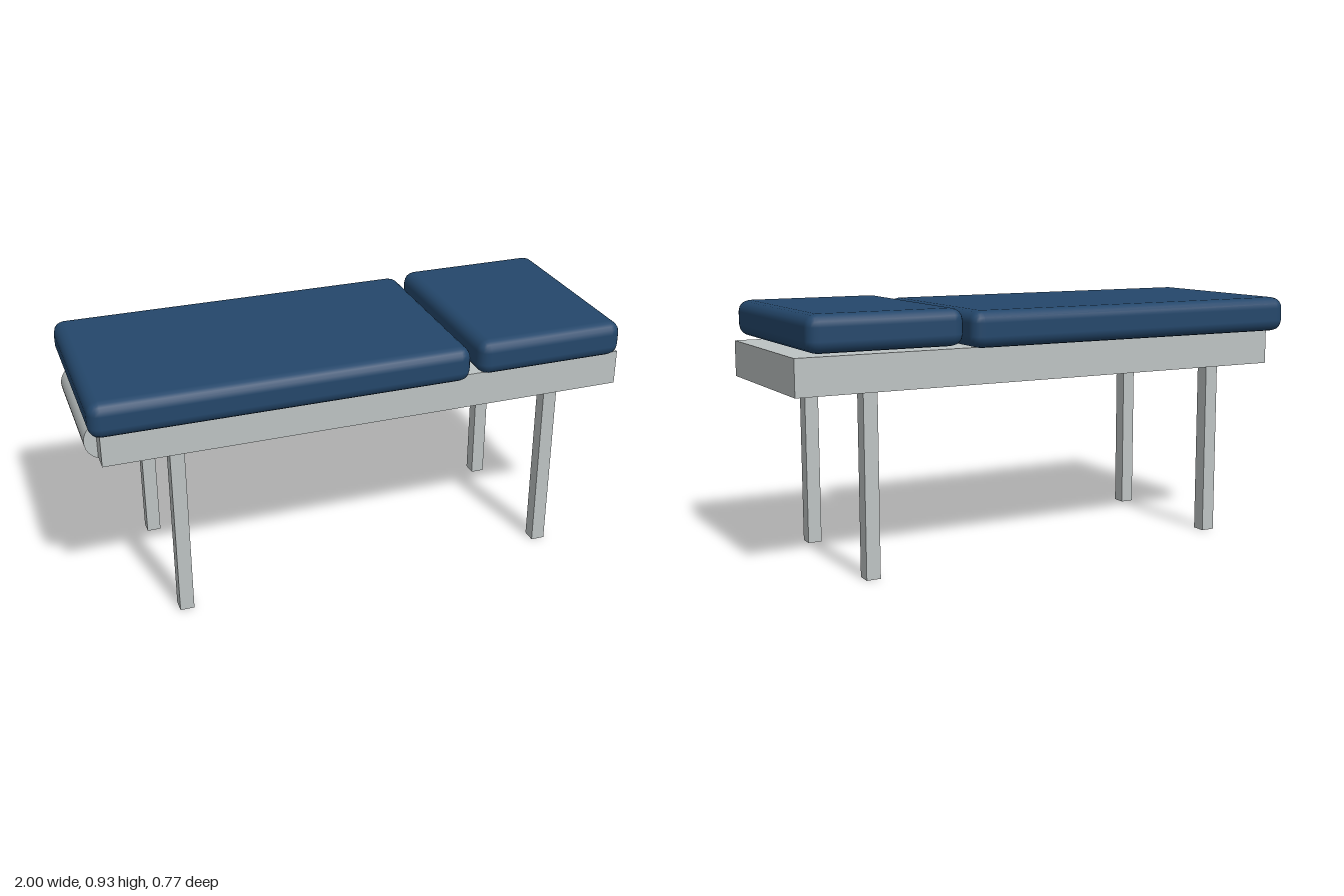
import * as THREE from 'three';
import { RoundedBoxGeometry } from 'three/addons/geometries/RoundedBoxGeometry.js';

export function createModel() {
  const model = new THREE.Group();
  model.name = 'treatmentTable';

  const metal = new THREE.MeshStandardMaterial({ color: 0xbdc3c3 });
  metal.name = 'light grey frame';
  const vinyl = new THREE.MeshStandardMaterial({ color: 0x24476b });
  vinyl.name = 'navy upholstery';

  const add = (name, geometry, material, x, y, z = 0) => {
    const mesh = new THREE.Mesh(geometry, material);
    mesh.name = name;
    mesh.position.set(x, y, z);
    model.add(mesh);
    return mesh;
  };

  // Box frame under the cushions
  add('frame', new THREE.BoxGeometry(1.954, 0.131, 0.636), metal, 0.023, 0.7155);

  // Four square legs
  const legGeometry = new THREE.BoxGeometry(0.052, 0.65, 0.053);
  for (const [end, x] of [['head', -0.695], ['foot', 0.733]]) {
    for (const [side, z] of [['Front', 0.285], ['Back', -0.285]]) {
      add(`${end}${side}Leg`, legGeometry, metal, x, 0.325, z);
    }
  }

  // Paper roll set into the end of the frame
  const roll = add('paperRoll', new THREE.CylinderGeometry(0.073, 0.073, 0.484, 32), metal, -0.926, 0.713);
  roll.rotation.x = Math.PI / 2;

  // Padded cushions, the shorter one sitting slightly higher
  const cushion = (name, x0, x1, y0) =>
    add(name, new RoundedBoxGeometry(x1 - x0, 0.131, 0.768, 2, 0.042), vinyl, (x0 + x1) / 2, y0 + 0.0655);
  cushion('longCushion', -0.995, 0.376, 0.781);
  cushion('shortCushion', 0.405, 0.973, 0.794);

  return model;
}
